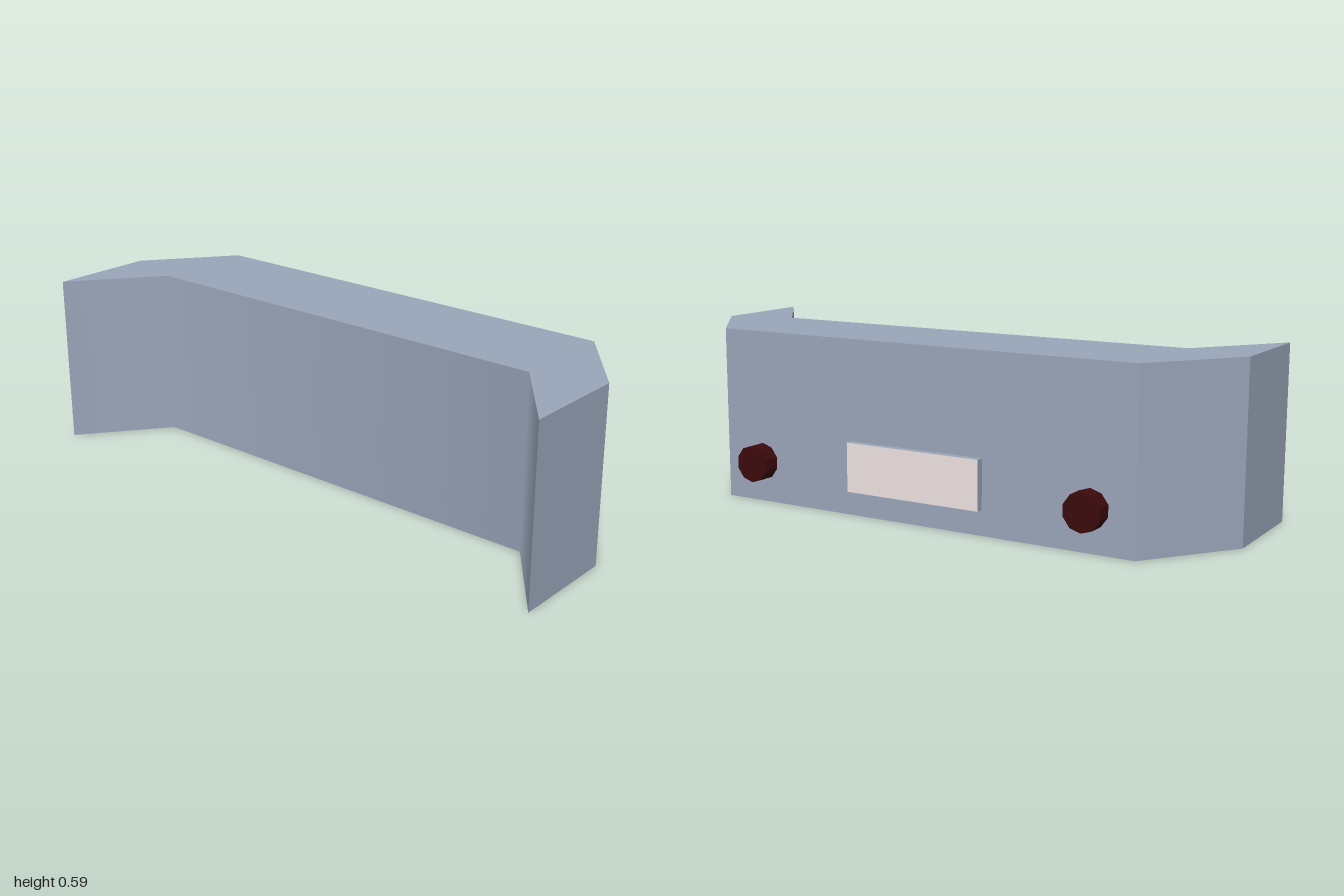
import * as THREE from 'three';

const BODY = 0x9aa6ba;
const PLATE = 0xf0e4e4;
const LAMP = 0x3c0a0c;
const HEIGHT = 0.59;
const BACK_Z = -0.3;
const INNER_X = 0.775, INNER_Z = 0.065;

const mat = (color, flatShading = false) => new THREE.MeshStandardMaterial({ color, flatShading });

function add(parent, name, geometry, material) {
  const mesh = new THREE.Mesh(geometry, material);
  mesh.name = name;
  parent.add(mesh);
  return mesh;
}

// Angled bumper: plan outline extruded upwards
function bumperGeometry() {
  const half = [[INNER_X, INNER_Z], [1, 0.36], [1, -0.007], [INNER_X, BACK_Z]];
  const mirrored = half.map(([x, z]) => [-x, z]).reverse();
  const outline = [...half, ...mirrored].map(([x, z]) => new THREE.Vector2(x, -z));
  const geo = new THREE.ExtrudeGeometry(new THREE.Shape(outline), { depth: HEIGHT, bevelEnabled: false });
  geo.rotateX(-Math.PI / 2);

  // Blend the normals along the two inner folds so the front shades smoothly
  const p = geo.attributes.position, n = geo.attributes.normal;
  const blend = new THREE.Vector3();
  for (let i = 0; i < p.count; i++) {
    const onFold = Math.abs(p.getZ(i) - INNER_Z) < 0.001 && Math.abs(n.getY(i)) < 0.5;
    if (!onFold) continue;
    blend.set(-0.25 * Math.sign(p.getX(i)), 0, 1).normalize();
    n.setXYZ(i, blend.x, blend.y, blend.z);
  }
  return geo;
}

export function createModel() {
  const group = new THREE.Group();
  group.name = 'bumper';
  const bodyMat = mat(BODY), plateMat = mat(PLATE), lampMat = mat(LAMP, true);

  add(group, 'bumperBody', bumperGeometry(), bodyMat);

  // Raised plate: pale rear face, body-coloured rim (box face order +x -x +y -y +z -z)
  const plate = add(group, 'rearPlate', new THREE.BoxGeometry(0.5, 0.166, 0.025),
    [bodyMat, bodyMat, bodyMat, bodyMat, bodyMat, plateMat]);
  plate.position.set(0, 0.167, BACK_Z - 0.0125);

  // Round ten-sided lamps, one corner pointing up
  for (const [name, side] of [['leftLamp', 1], ['rightLamp', -1]]) {
    const geo = new THREE.CylinderGeometry(0.0635, 0.0635, 0.06, 10);
    geo.rotateX(Math.PI / 2);
    const lamp = add(group, name, geo, lampMat);
    lamp.position.set(side * 0.625, 0.14, BACK_Z - 0.03);
  }
  return group;
}
